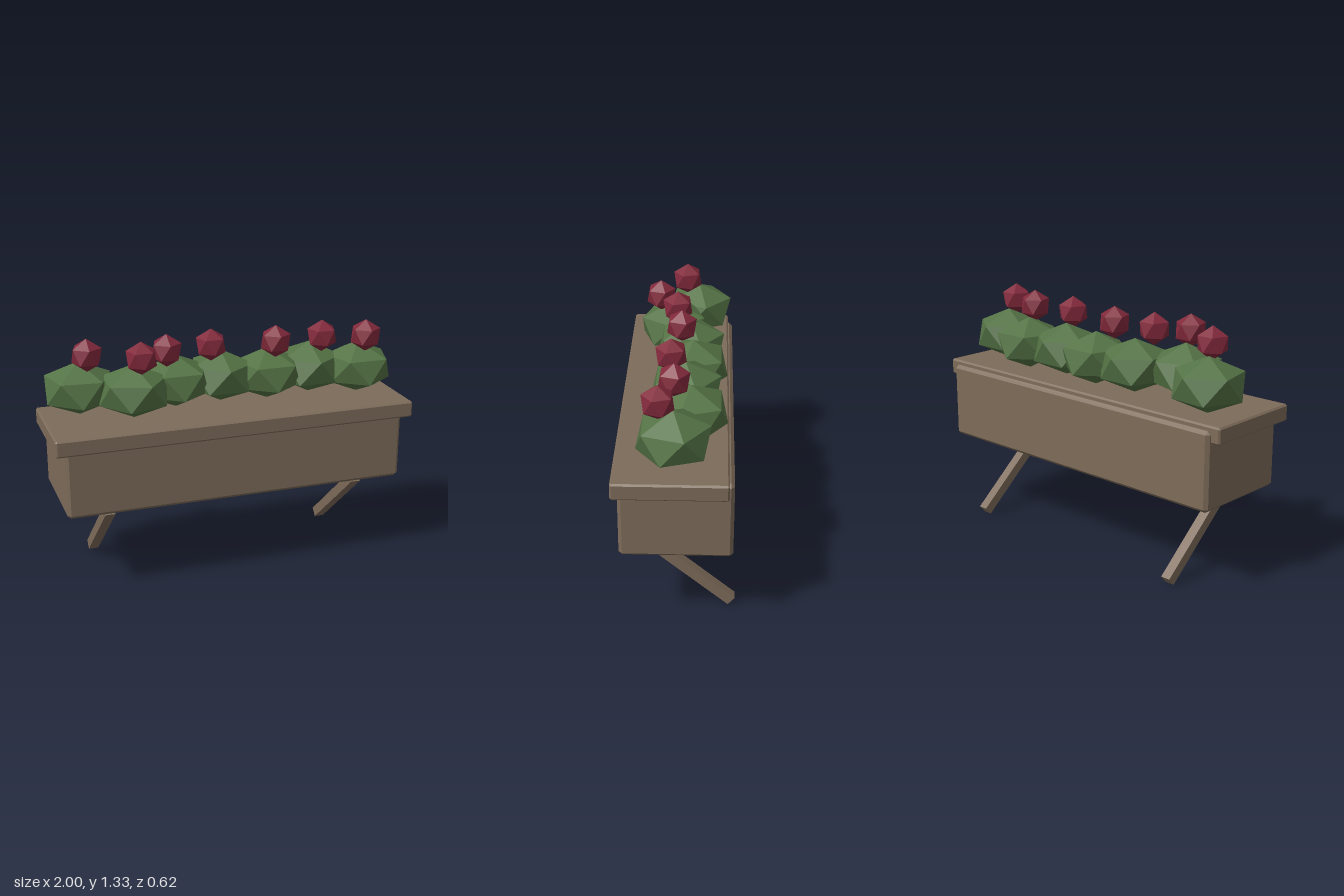
import * as THREE from 'three';
import { ConvexGeometry } from 'three/addons/geometries/ConvexGeometry.js';

// Box with single flat chamfers on all edges
function chamferBox(w, h, d, c) {
  const half = [w / 2, h / 2, d / 2];
  const points = [];
  for (const sx of [-1, 1]) for (const sy of [-1, 1]) for (const sz of [-1, 1]) {
    for (let face = 0; face < 3; face++) {
      const p = [sx, sy, sz].map((s, i) => s * (half[i] - (i === face ? 0 : c)));
      points.push(new THREE.Vector3(...p));
    }
  }
  return new ConvexGeometry(points);
}

// Icosahedron standing on a vertex, with one upper-ring corner at a plan angle (from +x towards +z)
function uprightIcosahedron(radius, height, angleDeg) {
  const g = new THREE.IcosahedronGeometry(1, 0);
  g.rotateZ(Math.atan2(2, 1 + Math.sqrt(5)));
  g.rotateY(-THREE.MathUtils.degToRad(angleDeg - 36));
  g.scale(radius, height, radius);
  g.computeVertexNormals();
  return g;
}

export function createModel() {
  const wood = new THREE.MeshStandardMaterial({ color: 0x7d6b59 });
  const leaf = new THREE.MeshStandardMaterial({ color: 0x547345 });
  const petal = new THREE.MeshStandardMaterial({ color: 0x82293b });
  wood.name = 'wood';
  leaf.name = 'leaf green';
  petal.name = 'petal red';

  const model = new THREE.Group();
  model.name = 'windowBox';
  function add(name, geometry, material, x, y, z) {
    const mesh = new THREE.Mesh(geometry, material);
    mesh.name = name;
    mesh.position.set(x, y, z);
    model.add(mesh);
    return mesh;
  }

  // Trough and the slab on top, set slightly forward
  add('trough', chamferBox(1.9, 0.425, 0.57, 0.018), wood, 0, 0.6675, -0.005);
  add('rim', chamferBox(2, 0.09, 0.575, 0.009), wood, 0, 0.86, 0.0225);

  // Slanted wall braces
  for (const side of [-1, 1]) {
    const brace = add(side < 0 ? 'rightBrace' : 'leftBrace',
      new THREE.BoxGeometry(0.055, 0.055, 0.654), wood, side * 0.713, 0.236, -0.043);
    brace.rotation.x = -0.713;
  }

  // Row of bushes: depth and turn of each
  const bushes = [[-0.09, 59], [0.055, 72], [-0.05, 54], [-0.07, 18], [-0.035, 54], [-0.07, 18], [0.012, 54]];
  bushes.forEach(([z, turn], i) => {
    add('bush', uprightIcosahedron(0.208, 0.147, turn), leaf, (i - 3) * 0.263, 1.049, z);
  });

  // Blossoms: x, z
  const blossoms = [[-0.755, -0.02], [-0.497, 0.125], [-0.333, 0.025], [-0.075, -0.005],
    [0.282, 0.04], [0.566, 0.015], [0.8, 0.085]];
  blossoms.forEach(([x, z], i) => {
    add('blossom', uprightIcosahedron(0.09, 0.09, 18 + i * 36), petal, x, 1.245, z);
  });

  return model;
}
